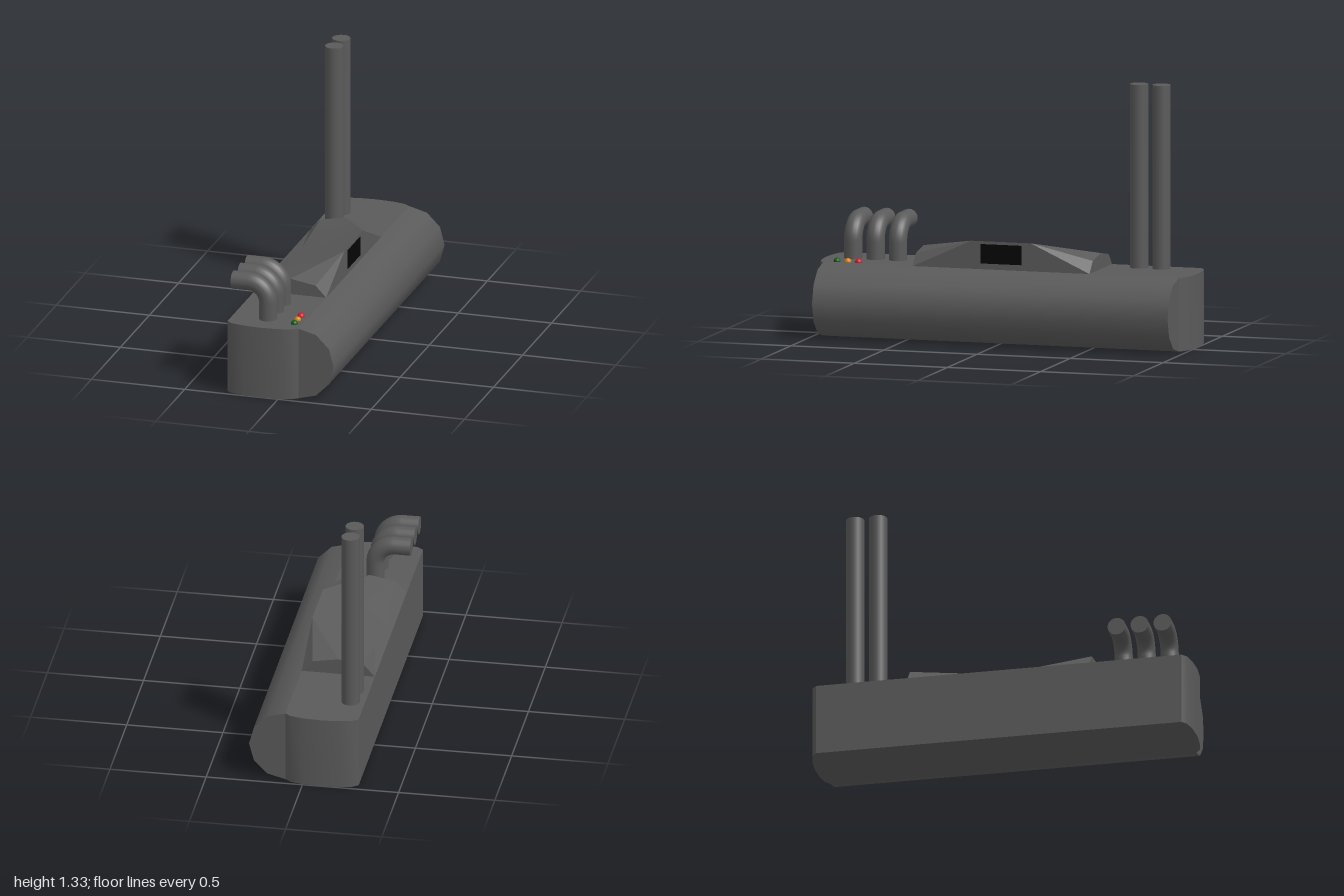
import * as THREE from 'three';
import { toCreasedNormals } from 'three/addons/utils/BufferGeometryUtils.js';

const paint = (color) => new THREE.MeshStandardMaterial({ color });

export function createModel() {
  const model = new THREE.Group();
  const metal = paint(0x5a5a5a);

  function add(name, geometry, material = metal, x = 0, y = 0, z = 0, parent = model) {
    const mesh = new THREE.Mesh(geometry, material);
    mesh.name = name;
    mesh.position.set(x, y, z);
    parent.add(mesh);
    return mesh;
  }

  const left = -0.285, right = 0.095, deck = 0.38, mid = (left + right) / 2;

  // Main hull: plan outline with bulging ends, extruded upwards
  const bulge = [[-0.19, 0.955], [-0.16, 0.979], [-0.09, 0.994], [0, 1], [0.09, 0.994], [0.16, 0.979], [0.19, 0.955]];
  const plan = [
    ...bulge.map(([x, z]) => new THREE.Vector2(mid + x, -z)),
    ...bulge.map(([x, z]) => new THREE.Vector2(mid - x, z)),
  ];
  const hull = new THREE.ExtrudeGeometry(new THREE.Shape(plan), { depth: deck, bevelEnabled: false });
  hull.rotateX(-Math.PI / 2);
  add('hull', toCreasedNormals(hull, 0.6));

  // Half-round tank along the side
  const half = [];
  for (let i = 0; i <= 6; i++) {
    const a = -Math.PI / 2 + (i * Math.PI) / 6;
    half.push(new THREE.Vector2(right + 0.19 * Math.cos(a), 0.19 + 0.19 * Math.sin(a)));
  }
  const tank = new THREE.ExtrudeGeometry(new THREE.Shape(half), { depth: 1.91, bevelEnabled: false });
  tank.translate(0, 0, -0.955);
  add('sideTank', toCreasedNormals(tank, 0.6));

  // Cabin: arched ends lofted into a wedge that rises towards the side
  const arch = [[left, deck], [-0.23, 0.44], [mid, 0.463], [0.038, 0.44], [right, deck]];
  const wedge = [[left, deck], [-0.23, 0.401], [mid, 0.453], [right, 0.525], [right, 0.525]];
  const rows = [[arch, -0.475], [wedge, -0.16], [wedge, 0.16], [arch, 0.475]]
    .map(([pts, z]) => pts.map(([x, y]) => new THREE.Vector3(x, y, z)));
  const corners = [];
  const tri = (a, b, c) => {
    const size = b.clone().sub(a).cross(c.clone().sub(a)).length();
    if (size > 1e-6) [a, b, c].forEach((p) => corners.push(p.x, p.y, p.z));
  };
  for (let i = 0; i < 3; i++) {
    for (let j = 0; j < 4; j++) {
      const a = rows[i][j], b = rows[i][j + 1], c = rows[i + 1][j], d = rows[i + 1][j + 1];
      if (i === 2) { tri(a, c, b); tri(b, c, d); } else { tri(a, c, d); tri(a, d, b); }
    }
  }
  const [rear, midRear, midFront, front] = rows;
  for (let j = 1; j < 4; j++) {
    tri(front[0], front[j + 1], front[j]);
    tri(rear[0], rear[j], rear[j + 1]);
  }
  tri(rear[4], midRear[4], midFront[4]);
  tri(rear[4], midFront[4], front[4]);
  const cabin = new THREE.BufferGeometry();
  cabin.setAttribute('position', new THREE.Float32BufferAttribute(corners, 3));
  add('cabin', toCreasedNormals(cabin, 0.45));
  add('cabinWindow', new THREE.BoxGeometry(0.006, 0.1, 0.22), paint(0x050505), right, 0.46, 0);

  // Tall chimneys at the rear
  for (const z of [-0.645, -0.765]) {
    add('chimney', new THREE.CylinderGeometry(0.047, 0.047, 0.96, 24), metal, -0.21, 0.85, z);
  }

  // Bent exhaust pipes at the front
  const path = new THREE.CurvePath();
  const v = (x, y) => new THREE.Vector3(x, y, 0);
  const px = -0.098, py = 0.572, r = 0.1, k = 0.552 * r;
  path.add(new THREE.LineCurve3(v(px, 0.37), v(px, py - r)));
  path.add(new THREE.CubicBezierCurve3(v(px, py - r), v(px, py - r + k), v(px - r + k, py), v(px - r, py)));
  path.add(new THREE.LineCurve3(v(px - r, py), v(left, py)));
  for (const z of [0.615, 0.735, 0.855]) {
    const pipe = new THREE.Group();
    pipe.name = 'exhaustPipe';
    pipe.position.z = z;
    add('pipeBend', new THREE.TubeGeometry(path, 28, 0.047, 20), metal, 0, 0, 0, pipe);
    add('pipeEnd', new THREE.CircleGeometry(0.047, 20), metal, left, py, 0, pipe).rotation.y = -Math.PI / 2;
    model.add(pipe);
  }

  // Signal lamps on the deck
  for (const [color, z] of [[0x0b5a12, 0.893], [0xd9820f, 0.835], [0xd01428, 0.778]]) {
    add('signalLamp', new THREE.SphereGeometry(0.018, 14, 10), paint(color), 0.055, 0.382, z);
  }
  return model;
}
